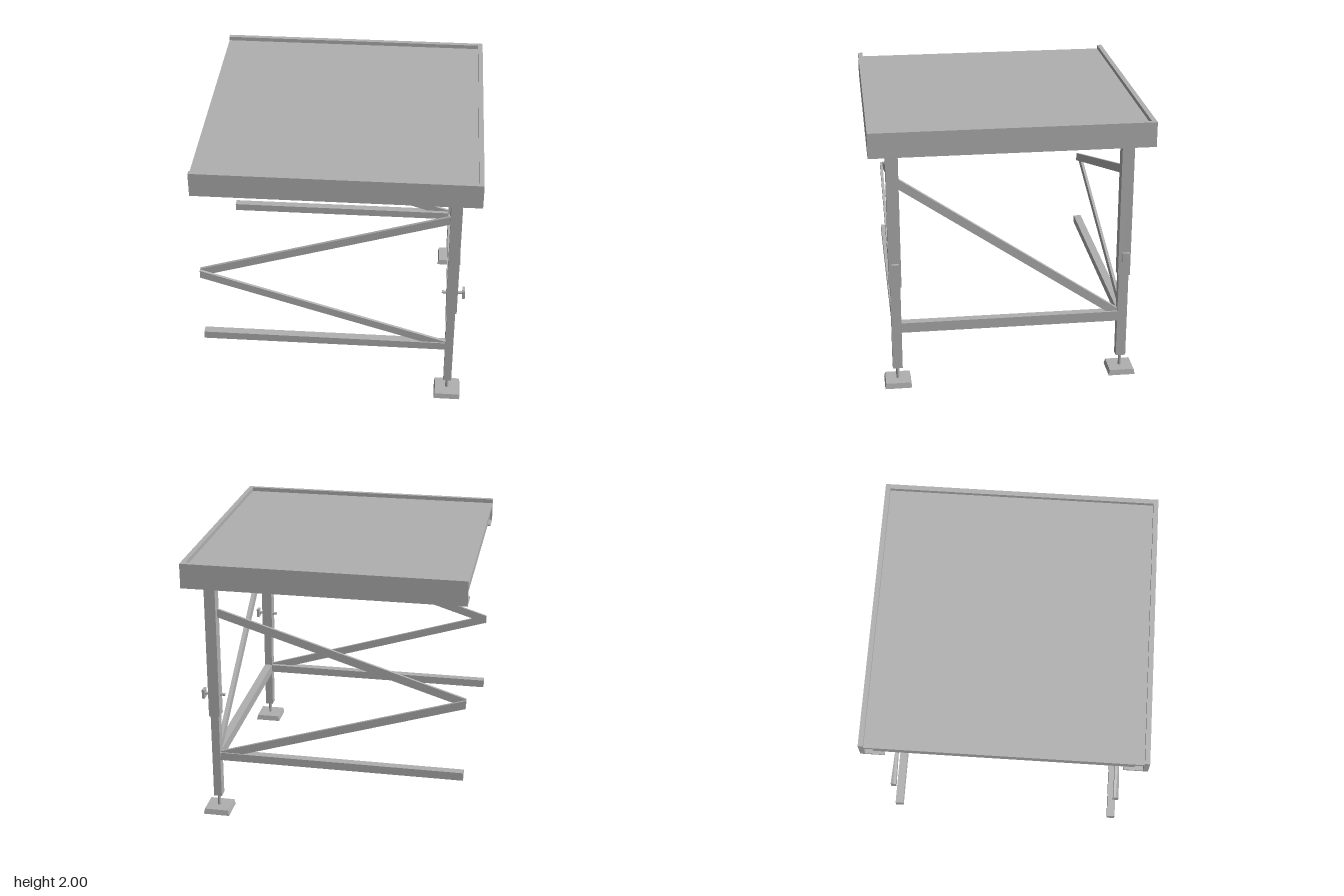
import * as THREE from 'three';

const steel = new THREE.MeshStandardMaterial({ color: 0xb0b0b0 });
steel.name = 'steel grey';

function add(parent, name, geometry) {
  const mesh = new THREE.Mesh(geometry, steel);
  mesh.name = name;
  parent.add(mesh);
  return mesh;
}

// Box given by its lowest and highest corner
function box(parent, name, [x0, y0, z0], [x1, y1, z1]) {
  const mesh = add(parent, name, new THREE.BoxGeometry(x1 - x0, y1 - y0, z1 - z0));
  mesh.position.set((x0 + x1) / 2, (y0 + y1) / 2, (z0 + z1) / 2);
  return mesh;
}

function extrude(points, depth) {
  const shape = new THREE.Shape(points.map(([x, y]) => new THREE.Vector2(x, y)));
  return new THREE.ExtrudeGeometry(shape, { depth, bevelEnabled: false });
}

// Three-sided band, open on the left end, lying flat at height y
function openFrame(parent, name, width, y0, y1) {
  const o = 0.995, i = o - width;
  const g = extrude([[-1, -o], [1, -o], [1, o], [-1, o], [-1, i], [1 - width, i], [1 - width, -i], [-1, -i]], y1 - y0);
  g.rotateX(-Math.PI / 2);
  add(parent, name, g).position.y = y0;
}

// Sloping flat bar with upright cut ends
function brace(parent, name, a, b, height, thickness) {
  const g = extrude([a, b, [b[0], b[1] + height], [a[0], a[1] + height]], thickness);
  g.translate(0, 0, -thickness / 2);
  return add(parent, name, g);
}

function makeLeg(z) {
  const leg = new THREE.Group();
  leg.name = 'leg';
  leg.position.set(0.83, 0, z);
  box(leg, 'mountPlate', [-0.05, 1.8, -0.06], [0.05, 1.822, 0.06]);
  box(leg, 'lockTab', [0.05, 1.79, -0.02], [0.075, 1.82, 0.11]);
  box(leg, 'outerSleeve', [-0.04, 0.79, -0.044], [0.04, 1.8, 0.044]);
  box(leg, 'innerTube', [-0.03, 0.13, -0.036], [0.03, 0.79, 0.036]);

  // Adjusting screw and spreading foot
  add(leg, 'screw', new THREE.CylinderGeometry(0.012, 0.012, 0.1, 12)).position.y = 0.085;
  const foot = new THREE.CylinderGeometry(0.09 * Math.SQRT2, 0.098 * Math.SQRT2, 0.04, 4).toNonIndexed();
  foot.rotateY(Math.PI / 4);
  foot.computeVertexNormals();
  add(leg, 'foot', foot).position.y = 0.02;

  // Locking pin through the sleeve
  const pin = add(leg, 'lockPin', new THREE.CylinderGeometry(0.011, 0.011, 0.16, 12));
  pin.rotation.z = Math.PI / 2;
  pin.position.set(0.005, 0.955, 0);
  box(leg, 'pinHandle', [0.072, 0.92, -0.028], [0.092, 0.988, 0.028]);
  return leg;
}

export function createModel() {
  const model = new THREE.Group();
  model.name = 'stagePlatform';

  // Deck with its raised rim and inward bottom flange
  openFrame(model, 'rim', 0.035, 1.835, 2);
  openFrame(model, 'rimFlange', 0.17, 1.82, 1.835);
  box(model, 'deck', [-1, 1.945, -0.96], [0.965, 1.97, 0.96]);
  for (const x of [-0.96, 0])
    box(model, 'deckJoist', [x - 0.03, 1.875, -0.9], [x + 0.03, 1.945, 0.9]);

  for (const s of [1, -1]) {
    model.add(makeLeg(0.83 * s));

    // Plate joining the leg to the deck frame
    const plate = box(model, 'cornerPlate', [0.64, 1.835, 0.64], [0.9, 1.85, 0.9]);
    plate.position.z *= s;

    // Long rail and the pair of braces on each side
    box(model, 'sideRail', [-1, 0.43, 0.83 * s - 0.03], [0.8, 0.49, 0.83 * s + 0.03]);
    brace(model, 'upperBrace', [-1, 0.997], [0.79, 1.555], 0.063, 0.02).position.z = 0.82 * s;
    brace(model, 'lowerBrace', [-1, 0.995], [0.8, 0.435], 0.062, 0.02).position.z = 0.84 * s;
  }

  // Cross bar and diagonal between the two legs
  box(model, 'crossBar', [0.8, 0.42, -0.795], [0.86, 0.495, 0.795]);
  const diagonal = brace(model, 'crossBrace', [-0.79, 1.53], [0.8, 0.435], 0.075, 0.03);
  diagonal.rotation.y = Math.PI / 2;
  diagonal.position.x = 0.83;
  return model;
}
